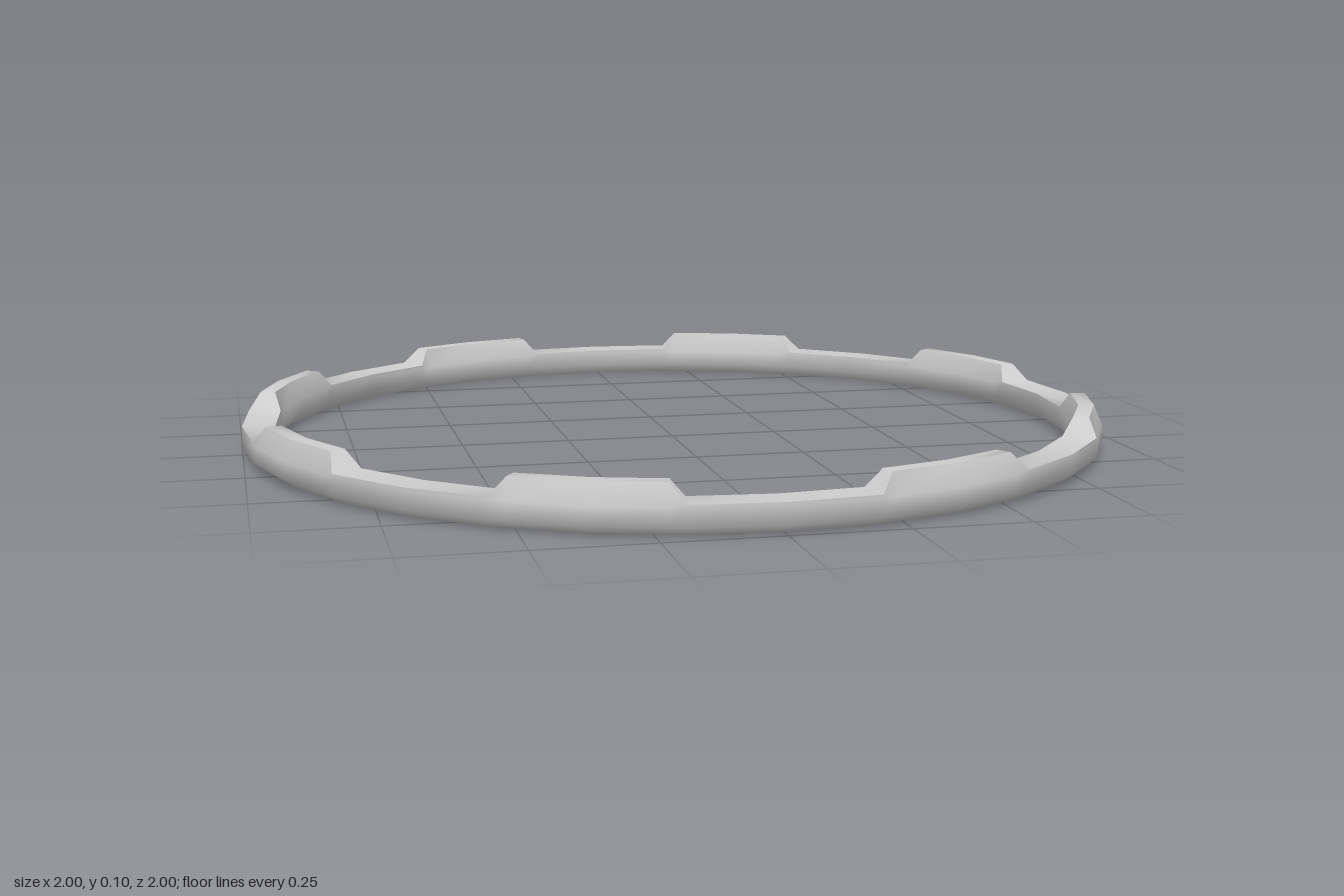
import * as THREE from 'three';
import { toCreasedNormals } from 'three/addons/utils/BufferGeometryUtils.js';

const STEP = Math.PI / 16; // the ring has 32 straight segments

// Cross-section as [radius, height], counter-clockwise; lift 0 = gap, 1 = raised tooth
function section(lift) {
  const mix = (a, b) => a + (b - a) * lift;
  return [
    [0.97, 0], [1, 0.02], [1, 0.06],
    [mix(1, 0.98), mix(0.066, 0.105)],
    [mix(0.925, 0.945), mix(0.066, 0.105)],
    [0.925, 0.06], [0.925, 0.025], [0.95, 0],
  ];
}

function crownRing() {
  // Stations along the ring as [segment position, lift]; each tooth spans two segments
  const stations = [];
  for (let k = 0; k < 8; k++) {
    const s = k * 4;
    stations.push([s, 0], [s + 1, 0], [s + 1.17, 1], [s + 2, 1], [s + 2.83, 1], [s + 3, 0]);
  }
  const positions = [], index = [], n = 8;
  for (const [s, lift] of stations) {
    // Stay on the straight chord between the two segment corners
    const i = Math.floor(s), t = s - i;
    const x = Math.sin(i * STEP) * (1 - t) + Math.sin((i + 1) * STEP) * t;
    const z = Math.cos(i * STEP) * (1 - t) + Math.cos((i + 1) * STEP) * t;
    for (const [r, y] of section(lift)) positions.push(x * r, y, z * r);
  }
  for (let i = 0; i < stations.length; i++) {
    const next = (i + 1) % stations.length;
    for (let j = 0; j < n; j++) {
      const k = (j + 1) % n;
      const a = i * n + j, b = next * n + j, c = next * n + k, d = i * n + k;
      index.push(a, b, c, a, c, d);
    }
  }
  const geometry = new THREE.BufferGeometry();
  geometry.setAttribute('position', new THREE.Float32BufferAttribute(positions, 3));
  geometry.setIndex(index);
  return toCreasedNormals(geometry, 1.1);
}

export function createModel() {
  const group = new THREE.Group();
  group.name = 'notchedRing';
  const ring = new THREE.Mesh(crownRing(), new THREE.MeshStandardMaterial({ color: 0xcccccc }));
  ring.name = 'ringWithTeeth';
  group.add(ring);
  return group;
}
